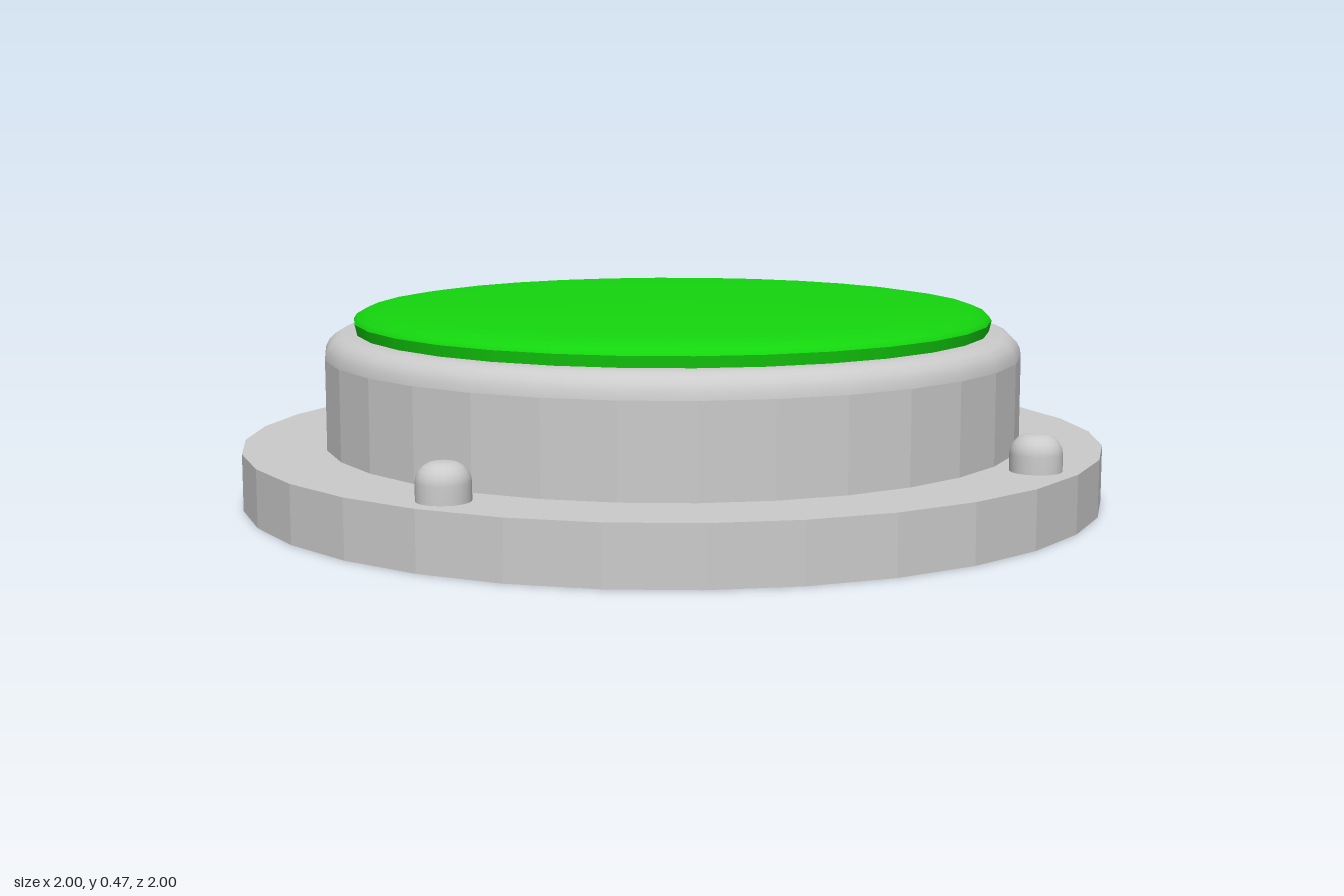
import * as THREE from 'three';

const SIDES = 32;
const grey = new THREE.MeshStandardMaterial({ color: 0xcccccc });
const greyFlat = new THREE.MeshStandardMaterial({ color: 0xcccccc, flatShading: true });
const green = new THREE.MeshStandardMaterial({ color: 0x14d60e });

function part(name, geometry, material, x = 0, y = 0, z = 0) {
  const mesh = new THREE.Mesh(geometry, material);
  mesh.name = name;
  mesh.position.set(x, y, z);
  return mesh;
}

function lathe(points, sides = SIDES) {
  return new THREE.LatheGeometry(points.map(([r, y]) => new THREE.Vector2(r, y)), sides);
}

// Quarter-round profile, from the vertical wall up to the flat top
function round(radius, top, bevel, steps) {
  return Array.from({ length: steps + 1 }, (_, i) => {
    const a = (i / steps) * Math.PI / 2;
    return [radius - bevel + bevel * Math.cos(a), top - bevel + bevel * Math.sin(a)];
  });
}

export function createModel() {
  const model = new THREE.Group();
  model.name = 'pushButton';

  // Mounting flange
  model.add(part('flange', new THREE.CylinderGeometry(1, 1, 0.13, SIDES), greyFlat, 0, 0.065, 0));

  // Housing: faceted wall with a smooth rounded lip
  const housing = new THREE.Group();
  housing.name = 'housing';
  housing.add(part('housingWall', lathe([[0.81, 0.13], [0.81, 0.335]]), greyFlat));
  housing.add(part('housingLip', lathe([...round(0.81, 0.39, 0.055, 5), [0.7, 0.39]]), grey));
  model.add(housing);

  // Button: short side, soft edge and shallow dome
  const button = new THREE.Group();
  button.name = 'button';
  button.add(part('buttonSide', lathe([[0.735, 0.385], [0.742, 0.415]]), green));
  button.add(part('buttonDome', lathe([
    [0.742, 0.415], [0.735, 0.426], [0.71, 0.437], [0.66, 0.445],
    [0.55, 0.453], [0.4, 0.459], [0.2, 0.463], [0, 0.465],
  ]), green));
  model.add(button);

  // Four round-headed bolts around the flange
  const boltGeometry = lathe([[0.057, 0.13], ...round(0.057, 0.21, 0.042, 5), [0, 0.21]], 20);
  for (let i = 0; i < 4; i++) {
    const a = (i * Math.PI) / 2;
    model.add(part('bolt', boltGeometry, grey, 0.905 * Math.sin(a), 0, 0.905 * Math.cos(a)));
  }
  return model;
}
